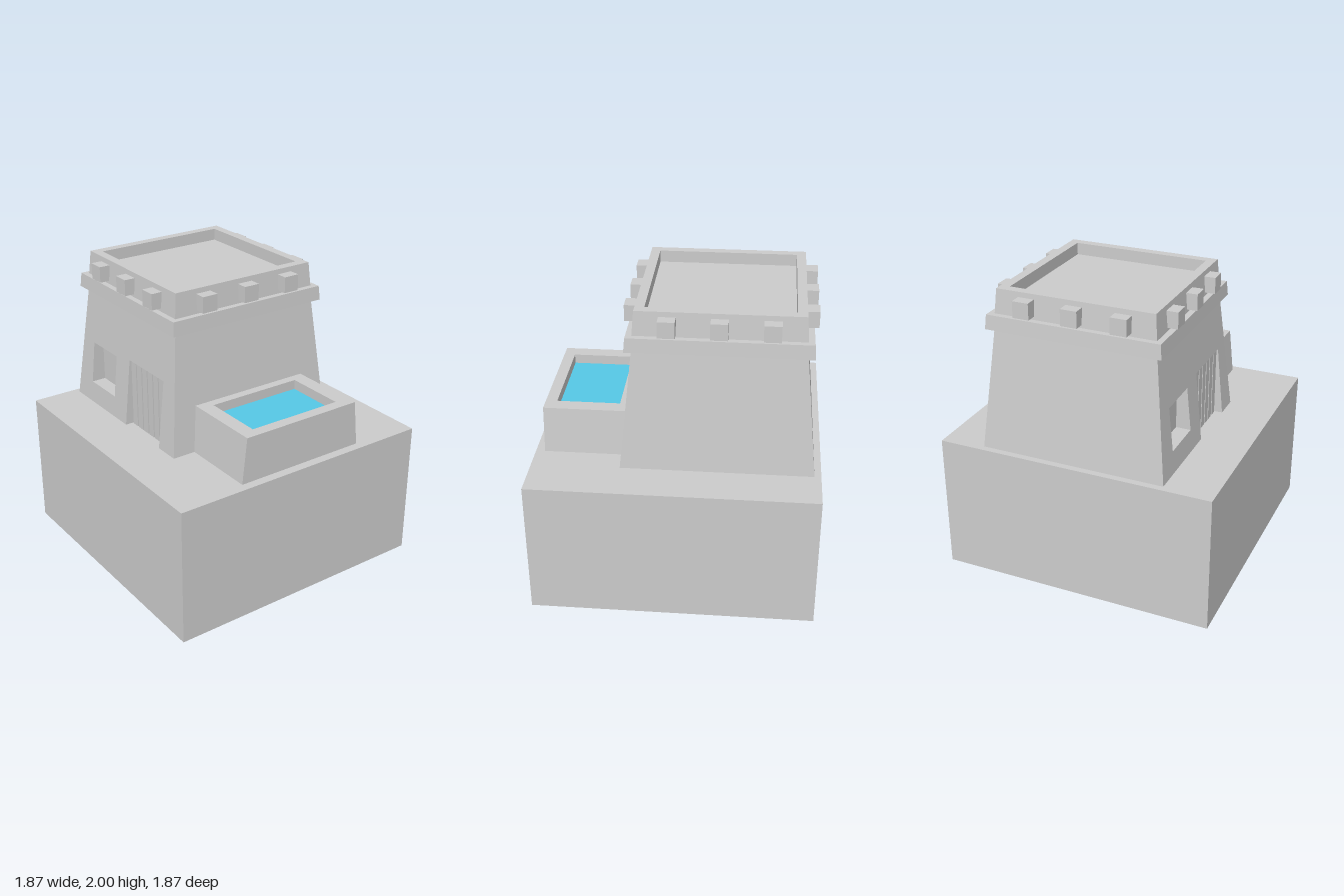
import * as THREE from 'three';

const grey = new THREE.MeshStandardMaterial({ color: 0xcccccc, flatShading: true });
const blue = new THREE.MeshStandardMaterial({ color: 0x55c8e6, flatShading: true });

// Move every vertex of a geometry by a rule, then refresh the normals.
function reshape(geo, rule) {
  const p = geo.attributes.position, v = new THREE.Vector3();
  for (let i = 0; i < p.count; i++) {
    rule(v.fromBufferAttribute(p, i));
    p.setXYZ(i, v.x, v.y, v.z);
  }
  geo.computeVertexNormals();
  return geo;
}

function add(parent, name, geo, mat = grey) {
  const mesh = new THREE.Mesh(geo, mat);
  mesh.name = name;
  parent.add(mesh);
  return mesh;
}

// Box given by its limits.
function block(x0, x1, y0, y1, z0, z1) {
  return new THREE.BoxGeometry(x1 - x0, y1 - y0, z1 - z0)
    .translate((x0 + x1) / 2, (y0 + y1) / 2, (z0 + z1) / 2);
}

function rectangle(target, x0, x1, y0, y1) {
  target.moveTo(x0, y0);
  target.lineTo(x1, y0);
  target.lineTo(x1, y1);
  target.lineTo(x0, y1);
  target.closePath();
  return target;
}

// Rectangular ring standing upright; outer and hole are [x0, x1, z0, z1].
function ring(outer, hole, y0, y1) {
  const shape = rectangle(new THREE.Shape(), outer[0], outer[1], -outer[3], -outer[2]);
  shape.holes.push(rectangle(new THREE.Path(), hole[0], hole[1], -hole[3], -hole[2]));
  return new THREE.ExtrudeGeometry(shape, { depth: y1 - y0, bevelEnabled: false })
    .rotateX(-Math.PI / 2).translate(0, y0, 0);
}

const BASE = 0.935, TOP = 1.745, RECESS = 0.51;
const half = y => 0.624 - (y - BASE) * 0.102; // half width of the sloping tower

export function createModel() {
  const model = new THREE.Group();
  add(model, 'base', block(-0.935, 0.935, 0, BASE, -0.935, 0.935));

  const tower = new THREE.Group();
  tower.name = 'tower';
  tower.position.set(-0.267, 0, -0.017);
  model.add(tower);

  // Rear body: slopes on three sides, upright where the front wall joins
  add(tower, 'towerBody', reshape(block(-1, 1, BASE, TOP, -1, 1), v => {
    v.x *= half(v.y);
    v.z = v.z > 0 ? RECESS : -half(v.y);
  }));

  // Sloping front wall with a doorway notch and a window opening
  const b = half(BASE), t = half(TOP), doorL = 0.032, doorR = 0.447, doorTop = 1.4;
  const wall = new THREE.Shape([
    [-b, BASE], [doorL, BASE], [doorL, doorTop], [doorR, doorTop],
    [doorR, BASE], [b, BASE], [t, TOP], [-t, TOP],
  ].map(([x, y]) => new THREE.Vector2(x, y)));
  wall.holes.push(rectangle(new THREE.Path(), -0.438, -0.133, 1.08, 1.37));
  add(tower, 'frontWall', reshape(
    new THREE.ExtrudeGeometry(wall, { depth: 1, bevelEnabled: false }),
    v => { v.z = v.z > 0.5 ? half(v.y) : RECESS; }));

  // Door of six upright planks with narrow gaps
  const gap = 0.012, plank = (doorR - doorL - 7 * gap) / 6;
  for (let i = 0; i < 6; i++) {
    const x = doorL + gap + i * (plank + gap);
    add(tower, 'doorPlank', block(x, x + plank, BASE, doorTop, RECESS, 0.57));
  }

  // Cornice, parapet and sunken roof
  add(tower, 'cornice', reshape(block(-1, 1, TOP, 1.84, -1, 1), v => {
    const h = v.y > 1.8 ? 0.576 : 0.584;
    v.x *= h;
    v.z *= h;
  }));
  const o = 0.537, n = 0.463;
  add(tower, 'parapet', reshape(ring([-o, o, -o, o], [-n, n, -n, n], 1.84, 2), v => {
    if (v.y > 1.9 && Math.abs(v.x) > 0.5) {
      v.x = Math.sign(v.x) * 0.524;
      v.z = Math.sign(v.z) * 0.524;
    }
  }));
  add(tower, 'roof', block(-n, n, 1.84, 1.92, -n, n));

  // Three beam ends on each side
  for (let side = 0; side < 4; side++) {
    for (const x of [-0.32, 0, 0.32]) {
      add(tower, 'beamEnd', block(x - 0.054, x + 0.054, 1.86, 1.967, 0.518, 0.602))
        .rotation.y = side * Math.PI / 2;
    }
  }

  // Water basin against the left side of the tower
  const pool = new THREE.Group();
  pool.name = 'pool';
  pool.position.z = -0.017;
  model.add(pool);
  add(pool, 'basin', reshape(
    ring([0.25, 0.875, -0.465, 0.465], [0.385, 0.8, -0.333, 0.333], BASE, 1.245),
    v => { if (v.y > 1.1 && Math.abs(v.z) > 0.4) v.z = Math.sign(v.z) * 0.431; }));
  add(pool, 'water', block(0.385, 0.8, BASE, 1.18, -0.333, 0.333), blue);

  return model;
}
